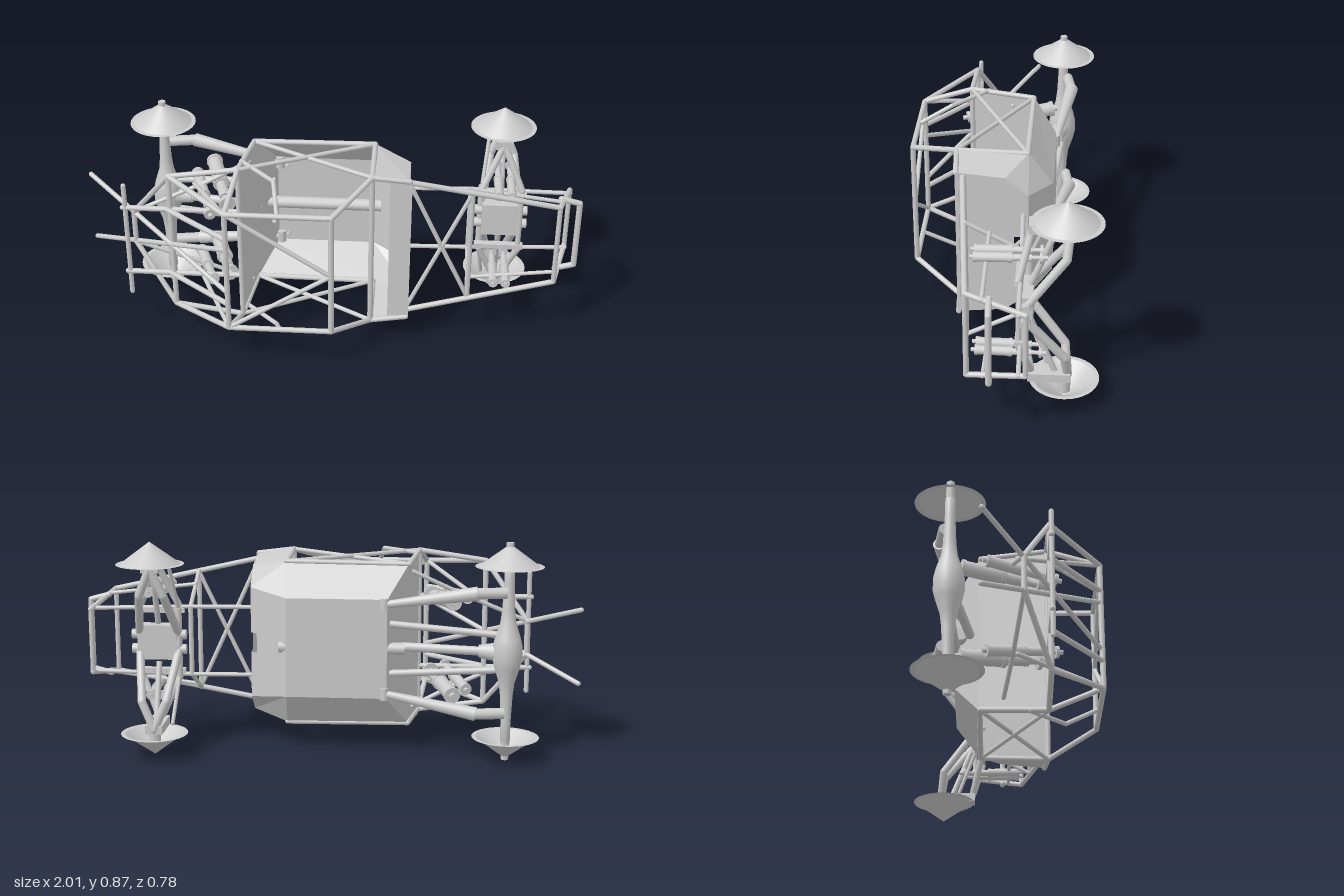
import * as THREE from 'three';

const MID = 0.437; // the vehicle lies on its side: length x, width y, roof towards +z
const mat = new THREE.MeshStandardMaterial({ color: 0xcccccc });
const thin = new THREE.MeshStandardMaterial({ color: 0xcccccc, side: THREE.DoubleSide });
const sheet = new THREE.MeshStandardMaterial({ color: 0xcccccc, side: THREE.DoubleSide, flatShading: true });
const P = (x, w, z) => new THREE.Vector3(x, MID + w, z);
const flip = (p) => [p[0], -p[1], p[2]];

export function createModel() {
  const root = new THREE.Group();
  const group = (name) => {
    const g = new THREE.Group();
    g.name = name;
    root.add(g);
    return g;
  };
  const add = (g, geo, name, m = mat) => {
    const mesh = new THREE.Mesh(geo, m);
    mesh.name = name;
    g.add(mesh);
    return mesh;
  };
  // straight rod between two points, optionally tapered
  const rod = (g, a, b, r, name, r2 = r, sides = 12) => {
    const A = P(...a), B = P(...b), d = B.clone().sub(A);
    const m = add(g, new THREE.CylinderGeometry(r2, r, d.length(), sides), name);
    m.position.copy(A).addScaledVector(d, 0.5);
    m.quaternion.setFromUnitVectors(new THREE.Vector3(0, 1, 0), d.normalize());
  };
  // bent pipe with rounded joints
  const pipe = (g, pts, name, r = 0.011) => {
    pts.forEach((p, i) => {
      if (i) rod(g, pts[i - 1], p, r, name);
      add(g, new THREE.SphereGeometry(r, 10, 8), name + 'Joint').position.copy(P(...p));
    });
  };
  const pair = (g, pts, name, r) => {
    pipe(g, pts, name, r);
    pipe(g, pts.map(flip), name, r);
  };
  const panel = (g, pts, name) => {
    const geo = new THREE.BufferGeometry().setFromPoints(pts.map((p) => P(...p)));
    geo.setIndex(pts.length === 4 ? [0, 1, 2, 0, 2, 3] : [0, 1, 2]);
    geo.computeVertexNormals();
    add(g, geo, name, sheet);
  };
  const panelPair = (g, pts, name) => {
    panel(g, pts, name);
    panel(g, pts.map(flip).reverse(), name);
  };
  const box = (g, size, at, name) => add(g, new THREE.BoxGeometry(...size), name).position.copy(P(...at));

  // --- body tub
  const tub = group('bodyTub');
  const F1 = [-0.24, 0.2, -0.19], F2 = [0.16, 0.2, -0.19];
  const R1 = [-0.32, 0.325, -0.095], R2 = [0.165, 0.33, -0.095];
  const N0 = [0.31, 0.3, -0.01], N1 = [0.31, 0.225, -0.1], N2 = [0.31, 0.318, 0.175], D = [0.165, 0.343, 0.18];
  panel(tub, [F1, F2, flip(F2), flip(F1)], 'floor');
  panelPair(tub, [R1, R2, F2, F1], 'sideSkirt');
  panel(tub, [R1, F1, flip(F1), flip(R1)], 'rearSkirt');
  panelPair(tub, [R2, D, N2, N0], 'noseSide');
  panelPair(tub, [R2, N0, N1, F2], 'noseCorner');
  // nose ramp and front leave a small opening in the middle
  const o = 0.04, H1 = [0.31, o, -0.1], H2 = [0.285, o, -0.115], H3 = [0.16, o, -0.19], H4 = [0.31, o, -0.045], H5 = [0.31, o, 0.175];
  panelPair(tub, [N1, H1, H3, F2], 'noseRamp');
  panel(tub, [H2, flip(H2), flip(H3), H3], 'noseRampMiddle');
  panelPair(tub, [N1, N0, H5, H1], 'noseFront');
  panelPair(tub, [N0, N2, H5], 'noseFrontUpper');
  panel(tub, [H4, H5, flip(H5), flip(H4)], 'noseFrontMiddle');
  box(tub, [0.085, 0.64, 0.014], [0.277, 0, 0.172], 'noseLid');
  // firewall behind the cockpit
  const W = [-0.357, 0.33, 0.17];
  panel(tub, [R1, W, flip(W), flip(R1)], 'firewall');
  rod(tub, [-0.31, 0, -0.165], [0.19, 0, -0.165], 0.025, 'tunnel');
  for (const s of [-1, 1]) {
    for (const x of [-0.23, -0.2]) rod(tub, [x, s * 0.165, -0.185], [x, s * 0.165, -0.165], 0.008, 'seatMount');
  }

  // --- roll cage
  const cage = group('rollCage');
  const A = [-0.322, 0.325, -0.09], S = [-0.357, 0.34, 0.17], T = [-0.385, 0.262, 0.375], C = [0.02, 0.262, 0.375], E = [0.165, 0.335, 0.185], B = [0.165, 0.33, -0.09];
  pair(cage, [A, S, T, C, E, B, A], 'sideHoop');
  pair(cage, [A, E], 'sideBrace', 0.009);
  pair(cage, [S, B], 'sideBrace', 0.009);
  pair(cage, [[-0.35, 0.34, 0.1], [-0.21, 0.335, 0.24], [-0.185, 0.262, 0.372]], 'doorBar', 0.009);
  for (const p of [T, C, E, S]) pipe(cage, [p, flip(p)], 'crossBar');
  pair(cage, [T, [0.02, 0, 0.375]], 'roofBrace', 0.009);
  pair(cage, [E, N2], 'cowlRail');

  // --- rear frame
  const rear = group('rearFrame');
  const K = [-0.63, 0.3, 0.17], V = [-0.8, 0.07, 0.07];
  pair(rear, [S, K, V], 'rearRail');
  pair(rear, [T, K], 'rearStay');
  pair(rear, [[-0.385, 0.15, 0.375], [-0.64, 0.15, 0.175]], 'rearBrace', 0.011);
  pair(rear, [[-0.82, 0.15, 0.17], [-0.365, 0.15, 0.17]], 'carrierRail');
  pipe(rear, [K, flip(K)], 'rearCrossBar');
  pipe(rear, [V, flip(V)], 'rearCrossBar');
  pipe(rear, [[-0.81, 0.25, 0.17], [-0.81, -0.25, 0.17]], 'rearBar', 0.01);
  pair(rear, [[-1, 0.15, -0.08], [-0.385, -0.1, 0.37]], 'longStay', 0.01);
  pair(rear, [V, [-0.5, 0.2, 0.03], [-0.335, 0.28, 0]], 'lowerRearRail', 0.009);
  pair(rear, [T, [-0.55, 0.2, 0.05]], 'shockTowerBar', 0.009);

  // --- front frame and bumper
  const front = group('frontFrame');
  const G1 = [0.9, 0.175, 0.09], G2 = [0.955, 0.13, -0.125], J = [0.555, 0.14, -0.09];
  pair(front, [[0.31, 0.3, 0.15], G1, G2], 'upperRail');
  pair(front, [[0.31, 0.14, -0.08], J, [0.955, 0.13, -0.1]], 'lowerRail', 0.009);
  pair(front, [J, [0.555, 0.25, 0.12]], 'frontPost', 0.009);
  pair(front, [[0.555, 0.21, 0.03], [0.92, 0.165, 0.03]], 'middleRail', 0.008);
  pair(front, [[0.31, 0.29, 0.145], [0.555, -0.245, 0.12]], 'frontCross', 0.009);
  for (const p of [G1, G2, J, [0.555, 0.25, 0.12]]) pipe(front, [p, flip(p)], 'frontCrossBar', 0.01);
  pipe(front, [[0.91, 0.165, 0.005], [0.985, 0.145, 0.003], [0.985, -0.145, 0.003], [0.91, -0.165, 0.005]], 'bumperHoop', 0.012);

  // --- wheel covers: shallow open cones with a thin flat rim
  const wheels = group('wheelCovers');
  const profile = [[0.133, 0.341], [0.116, 0.341], [0.116, 0.342], [0.001, 0.428]].map((q) => new THREE.Vector2(...q));
  for (const [x, z] of [[0.68, -0.257], [-0.71, -0.2]]) {
    for (const s of [-1, 1]) {
      const cone = add(wheels, new THREE.LatheGeometry(profile, 40), 'wheelCover', thin);
      cone.position.set(x, MID, z);
      if (s < 0) cone.rotation.x = Math.PI;
      if (x < 0) rod(wheels, [x, s * 0.33, z], [x, s * 0.434, z], 0.019, 'hubCap', 0.015, 8);
      else rod(wheels, [x, s * 0.31, z], [x, s * 0.4, z], 0.025, 'hub');
    }
  }

  // damper: body, sleeve and thin shaft
  const damper = (a, b, r) => {
    const g = group('damper');
    const at = (t) => a.map((v, i) => v + (b[i] - v) * t);
    rod(g, a, b, r * 0.45, 'damperShaft');
    rod(g, at(0.05), at(0.55), r, 'damperBody');
    rod(g, at(0.55), at(0.8), r * 0.75, 'damperSleeve');
    for (const t of [0.05, 0.5, 0.9]) rod(g, at(t), at(t + 0.04), r * 1.12, 'damperCollar');
  };

  // --- rear axle
  const axle = group('rearAxle');
  const half = [[0.001, 0.36], [0.019, 0.36], [0.02, 0.28], [0.025, 0.17], [0.031, 0.12], [0.05, 0.06], [0.058, 0.025]];
  const full = [...half.map(([r, h]) => new THREE.Vector2(r, -h)), ...half.reverse().map(([r, h]) => new THREE.Vector2(r, h))];
  add(axle, new THREE.LatheGeometry(full, 24), 'axleHousing').position.copy(P(-0.71, 0, -0.2));
  rod(axle, [-0.71, 0, -0.2], [-0.6, 0, -0.18], 0.045, 'differential', 0.025);
  rod(axle, [-0.6, 0, -0.18], [-0.3, 0, -0.13], 0.018, 'driveShaft');

  for (const s of [-1, 1]) {
    // rear links and dampers
    rod(axle, [-0.7, s * 0.24, -0.22], [-0.58, s * 0.24, -0.24], 0.022, 'linkBracket');
    rod(axle, [-0.59, s * 0.24, -0.24], [-0.23, s * 0.18, -0.185], 0.028, 'trailingArm', 0.014);
    rod(axle, [-0.68, s * 0.07, -0.2], [-0.25, s * 0.1, -0.17], 0.014, 'upperLink');
    rod(axle, [-0.23, s * 0.155, -0.185], [-0.23, s * 0.205, -0.185], 0.018, 'linkBushing');
    damper([-0.505, s * 0.19, -0.18], [-0.4, s * 0.16, 0.16], 0.03);
    damper([-0.56, s * 0.19, -0.08], [-0.46, s * 0.15, 0.22], 0.022);

    // front arms and knuckle
    const sus = group('frontSuspension');
    box(sus, [0.07, 0.035, 0.16], [0.68, s * 0.325, -0.2], 'knuckle');
    for (const x of [0.6, 0.76]) {
      const mid = 0.68 + (x - 0.68) * 0.6;
      pipe(sus, [[0.68, s * 0.325, -0.27], [mid, s * 0.215, -0.258], [x, s * 0.03, -0.115]], 'lowerArm', 0.017);
      pipe(sus, [[0.68, s * 0.325, -0.135], [x, s * 0.14, -0.088]], 'upperArm', 0.014);
      rod(sus, [x - 0.03, s * 0.03, -0.115], [x + 0.03, s * 0.03, -0.115], 0.02, 'armPivot');
    }
    pipe(sus, [[0.62, s * 0.32, -0.19], [0.6, s * 0.14, -0.12]], 'tieRod', 0.008);
    rod(sus, [0.68, s * 0.36, -0.24], [0.68, s * 0.08, -0.13], 0.012, 'halfShaft');
    for (const x of [0.66, 0.71]) damper([x, s * 0.205, 0.09], [x, s * 0.21, -0.19], 0.018);
  }

  // --- steering rack and front gearbox
  const steer = group('steeringAndGearbox');
  rod(steer, [0.6, -0.14, -0.12], [0.6, 0.14, -0.12], 0.014, 'steeringRack');
  rod(steer, [0.76, -0.14, -0.09], [0.76, 0.14, -0.09], 0.011, 'rearArmBar');
  box(steer, [0.16, 0.14, 0.06], [0.685, 0, -0.11], 'gearbox');
  for (const s of [-1, 1]) box(steer, [0.2, 0.02, 0.03], [0.68, s * 0.125, -0.09], 'gearboxMount');
  return root;
}
